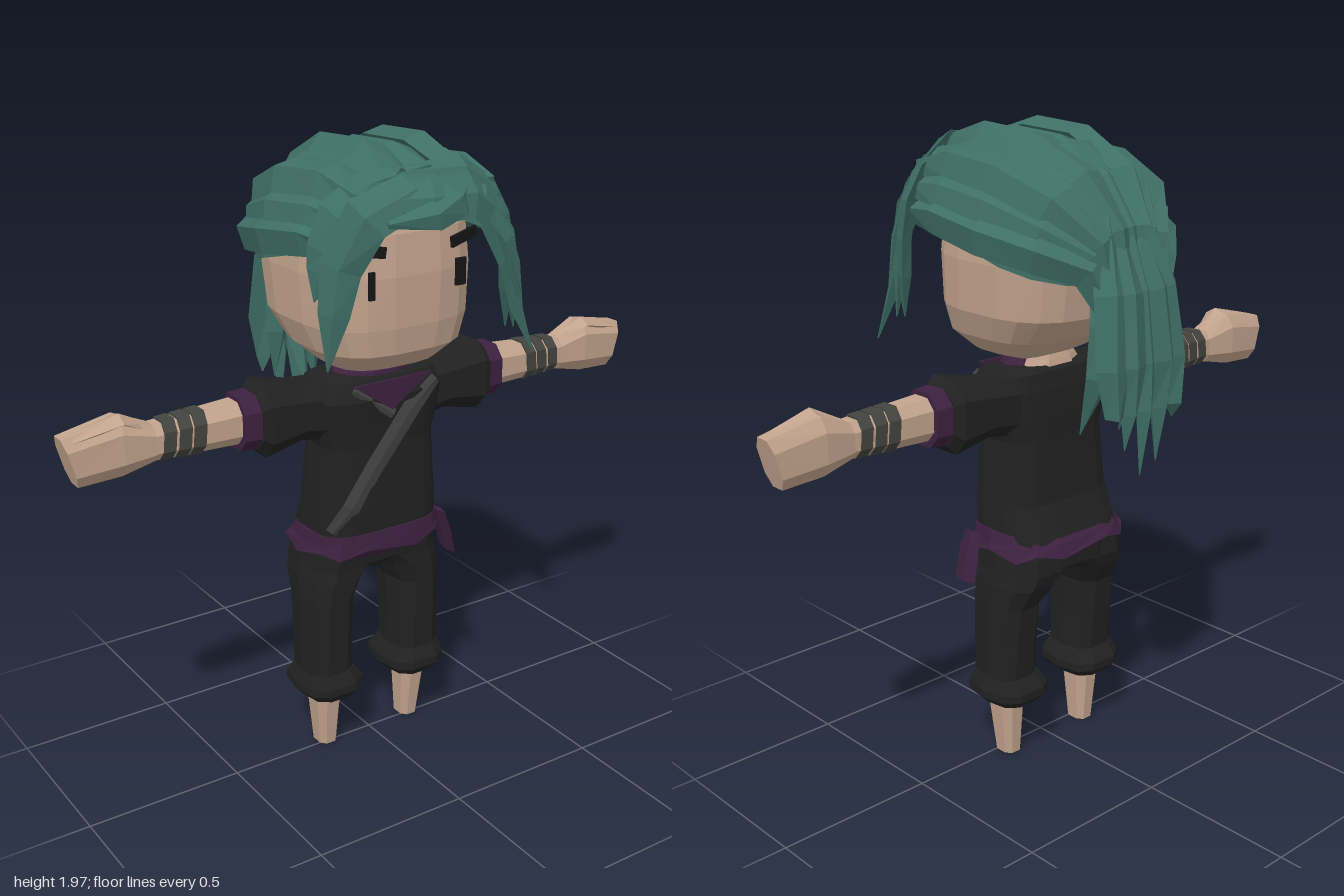
import * as THREE from 'three';

const mat = (name, color) => {
  const m = new THREE.MeshStandardMaterial({ color });
  m.name = name;
  return m;
};
const V = (p) => new THREE.Vector3(...p);

// Superellipse exponent helper
const sp = (v, e) => Math.sign(v) * Math.pow(Math.abs(v), e);

// Horizontal ring, front at zf and back at zb; tilt lifts it toward the front
function ringY([y, cx, rx, zf, zb, tilt = 0], n, e) {
  const cz = (zf + zb) / 2, rz = (zf - zb) / 2;
  return Array.from({ length: n }, (_, i) => {
    const a = ((i + 0.5) / n) * Math.PI * 2;
    const z = cz + rz * sp(Math.cos(a), e);
    return V([cx + rx * sp(Math.sin(a), e), y + tilt * z, z]);
  });
}

// Upright ring around the x axis, used for arms
function ringX([x, cy, ry, zf, zb, tilt = 0], n, e) {
  const cz = (zf + zb) / 2, rz = (zf - zb) / 2;
  return Array.from({ length: n }, (_, i) => {
    const a = ((i + 0.5) / n) * Math.PI * 2;
    const dy = ry * sp(Math.cos(a), e);
    return V([x + tilt * dy, cy + dy, cz + rz * sp(Math.sin(a), e)]);
  });
}

// Faceted skin over a list of rings, closed at both ends
function loft(rings) {
  const pos = [], n = rings[0].length;
  const tri = (...vs) => vs.forEach((v) => pos.push(v.x, v.y, v.z));
  for (let i = 0; i + 1 < rings.length; i++) {
    for (let j = 0; j < n; j++) {
      const k = (j + 1) % n, r = rings[i], s = rings[i + 1];
      tri(r[j], r[k], s[k]);
      tri(r[j], s[k], s[j]);
    }
  }
  const first = rings[0], last = rings[rings.length - 1];
  for (let j = 1; j + 1 < n; j++) {
    tri(first[0], first[j + 1], first[j]);
    tri(last[0], last[j], last[j + 1]);
  }
  const g = new THREE.BufferGeometry();
  g.setAttribute('position', new THREE.Float32BufferAttribute(pos, 3));
  g.computeVertexNormals();
  return g;
}
const loftY = (rows, n = 12, e = 0.7) => loft(rows.map((r) => ringY(r, n, e)));
const loftX = (rows, n = 8, e = 0.8) => loft(rows.map((r) => ringX(r, n, e)));

// Flat diamond-section strand along points, facing away from a centre
function strand(points, widths, thick, centre = [0, 1.6, -0.03]) {
  const p = points.map(V), c = V(centre);
  return loft(p.map((q, i) => {
    const t = p[Math.min(i + 1, p.length - 1)].clone().sub(p[Math.max(i - 1, 0)]).normalize();
    const n = q.clone().sub(c);
    n.addScaledVector(t, -n.dot(t)).normalize();
    const s = t.clone().cross(n), w = widths[i], h = Math.min(thick, w);
    return [[n, h], [s, w], [n, -h], [s, -w]].map(([d, l]) => q.clone().addScaledVector(d, l));
  }));
}

// Reflection across x = 0 with the face order restored
function mirrorX(geo) {
  const g = geo.clone(), a = g.attributes.position;
  for (let i = 0; i < a.count; i += 3) {
    const [p, q, r] = [0, 1, 2].map((k) => new THREE.Vector3().fromBufferAttribute(a, i + k));
    [p, r, q].forEach((v, k) => a.setXYZ(i + k, -v.x, v.y, v.z));
  }
  g.computeVertexNormals();
  return g;
}

export function createModel() {
  const skin = mat('skin', 0xc2a38d), hair = mat('teal hair', 0x3f6f66);
  const cloth = mat('black cloth', 0x212121), purple = mat('purple cloth', 0x3d213f);
  const strapGrey = mat('grey strap', 0x444444), wrapGrey = mat('grey wrap', 0x43443f);
  const ink = mat('eye black', 0x151515);
  const model = new THREE.Group();
  const add = (name, geo, m) => {
    const mesh = new THREE.Mesh(geo, m);
    mesh.name = name;
    model.add(mesh);
    return mesh;
  };
  const pair = (name, geo, m) => {
    add(name + 'Left', geo, m);
    add(name + 'Right', mirrorX(geo), m);
  };

  // Head and neck
  add('head', loftY([[1.29, 0, 0.11, 0.09, -0.06], [1.31, 0, 0.17, 0.175, -0.1], [1.37, 0, 0.238, 0.238, -0.2],
    [1.45, 0, 0.268, 0.25, -0.28], [1.6, 0, 0.275, 0.255, -0.31], [1.72, 0, 0.265, 0.245, -0.31],
    [1.83, 0, 0.21, 0.2, -0.26], [1.9, 0, 0.08, 0.08, -0.15]], 20, 0.68), skin);
  add('neck', loftY([[1.24, 0, 0.13, 0.03, -0.1], [1.285, 0, 0.1, 0.03, -0.088], [1.34, 0, 0.07, 0.05, -0.07]], 8, 0.9), skin);

  // Eyes and eyebrows
  for (const [s, w] of [[1, 0.034], [-1, 0.018]]) {
    add('eye', new THREE.BoxGeometry(w, 0.08, 0.008), ink).position.set(0.153 * s, 1.585, 0.243);
    const brow = add('eyebrow', new THREE.BoxGeometry(0.11, 0.032, 0.009), ink);
    brow.position.set(0.165 * s, 1.684, 0.238);
    brow.rotation.set(0, 0.25 * s, 0.15 * s);
  }

  // Tunic, sleeves and collar
  add('tunic', loftY([[0.74, 0, 0.215, 0.12, -0.175], [0.85, 0, 0.207, 0.12, -0.13], [1.05, 0, 0.193, 0.115, -0.115],
    [1.12, 0, 0.21, 0.12, -0.115], [1.2, 0, 0.22, 0.128, -0.11], [1.255, 0, 0.2, 0.1, -0.1],
    [1.27, 0, 0.13, 0.05, -0.085]], 20, 0.55), cloth);
  pair('sleeve', loftX([[0.12, 1.155, 0.1, 0.08, -0.1], [0.26, 1.172, 0.09, 0.08, -0.105],
    [0.385, 1.172, 0.118, 0.09, -0.11], [0.41, 1.175, 0.09, 0.08, -0.09]], 8, 0.75), cloth);
  add('scarf', loftY([[1.2, 0, 0.15, 0.1, -0.06], [1.27, 0, 0.135, 0.085, -0.065], [1.3, 0, 0.1, 0.06, -0.06]], 10, 0.9), purple);
  const flap = new THREE.Shape([[-0.14, 1.255], [0, 1.16], [0.14, 1.255]].map((p) => new THREE.Vector2(...p)));
  add('collarFlap', new THREE.ExtrudeGeometry(flap, { depth: 0.008, bevelEnabled: false }), purple).position.z = 0.122;

  // Crossed lapel running into the chest strap
  const behind = [0, 1, -100];
  add('chestStrap', strand([[0.165, 1.225, 0.115], [0.07, 1.15, 0.125], [-0.06, 0.98, 0.118], [-0.14, 0.865, 0.115],
    [-0.195, 0.79, 0.09]], [0.02, 0.035, 0.034, 0.034, 0.026], 0.006, behind), strapGrey);
  add('lapel', strand([[-0.13, 1.24, 0.118], [0.005, 1.145, 0.126]], [0.012, 0.016], 0.006, behind), strapGrey);

  // Sash with an uneven hem and a hanging tail
  const sash = [[0.71, 0, 0.243, 0.135, -0.205], [0.735, 0, 0.23, 0.132, -0.185], [0.77, 0, 0.222, 0.128, -0.155]]
    .map((r) => ringY(r, 14, 0.65));
  sash[0].forEach((v, i) => { v.y += i % 2 ? 0.008 : -0.016; });
  add('sash', loft(sash), purple);
  add('sashTail', strand([[0.235, 0.75, 0.05], [0.255, 0.68, 0.05], [0.275, 0.6, 0.045]], [0.035, 0.045, 0.045], 0.008, [-100, 0.7, 0]), purple);

  // Trousers, cuffs and feet
  add('hips', loftY([[0.615, 0, 0.05, 0.05, -0.13], [0.65, 0, 0.18, 0.09, -0.18], [0.73, 0, 0.215, 0.1, -0.18]], 12, 0.65), cloth);
  pair('trouserLeg', loftY([[0.25, 0.165, 0.083, 0.075, -0.105], [0.4, 0.165, 0.08, 0.08, -0.115],
    [0.53, 0.162, 0.08, 0.085, -0.13], [0.6, 0.143, 0.096, 0.09, -0.168], [0.64, 0.12, 0.112, 0.09, -0.178],
    [0.7, 0.115, 0.11, 0.095, -0.175]], 10), cloth);
  pair('trouserCuff', loftY([[0.195, 0.158, 0.085, 0.085, -0.12], [0.22, 0.158, 0.107, 0.1, -0.14],
    [0.245, 0.158, 0.107, 0.1, -0.14], [0.285, 0.163, 0.085, 0.08, -0.11]], 10), cloth);
  pair('foot', loftY([[0, 0.16, 0.033, 0.02, -0.06], [0.22, 0.165, 0.05, 0.05, -0.078]], 8, 0.75), skin);

  // Arms, hands, sleeve bands and wrist wraps
  const armR = (x) => 0.07 - 0.054 * (x - 0.46);
  pair('sleeveBand', loftX([[0.39, 1.175, 0.09, 0.075, -0.085], [0.465, 1.175, 0.086, 0.07, -0.08]]), purple);
  pair('forearm', loftX([[0.42, 1.18, 0.07, 0.055, -0.065], [0.75, 1.175, 0.055, 0.045, -0.05]]), skin);
  pair('hand', loftX([[0.73, 1.175, 0.056, 0.046, -0.052], [0.83, 1.185, 0.09, 0.052, -0.068],
    [0.978, 1.165, 0.078, 0.035, -0.055, 0.27]], 8, 0.75), skin);
  pair('thumb', strand([[0.74, 1.215, 0.0], [0.83, 1.265, 0.015], [0.97, 1.228, 0.005]], [0.02, 0.04, 0.02], 0.018, [0.85, 1.1, 0]), skin);
  for (const x of [0.58, 0.625, 0.672]) {
    const row = (q) => [q, 1.178, armR(q) + 0.005, armR(q) - 0.009, -armR(q) + 0.003, -0.1];
    pair('wristWrap', loftX([row(x), row(x + 0.038)]), wrapGrey);
  }

  // Hair base under the strands
  add('hairBase', loftY([[1.64, 0, 0.288, 0.215, -0.33, 0.26], [1.75, 0, 0.285, 0.2, -0.34, 0.2],
    [1.86, 0, 0.215, 0.235, -0.28, 0.06], [1.925, 0, 0.1, 0.14, -0.16]], 16, 0.8), hair);

  // Combed-back strands from hairline to tie
  for (let k = -5; k <= 5; k++) {
    const a = (k / 5) * 1.45, s = sp(Math.sin(a), 0.9), c = Math.pow(Math.cos(a), 0.7);
    const d = k % 2 ? 0.008 : -0.006;
    add('combedStrand', strand([[0.27 * s, 1.66 + 0.23 * c, 0.23 + 0.06 * c], [0.29 * s, 1.65 + 0.285 * c + d, 0.12],
      [0.3 * s, 1.62 + 0.305 * c + d, -0.08], [0.255 * s, 1.6 + 0.24 * c + d, -0.26],
      [0.15 * s, 1.58 + 0.13 * c, -0.355], [0.1 * s, 1.48, -0.385]],
    [0.035, 0.06, 0.066, 0.062, 0.055, 0.03], 0.03 + d), hair);
  }

  // Ponytail: broad outer layer, then an inner layer filling toward the neck
  [1.15, 1.03, 1.0, 1.09, 1.2].forEach((y, i) => {
    const u = (i - 2) / 2, b = i % 2 ? 0.012 : 0;
    add('ponytailStrand', strand([[0.07 * u, 1.74, -0.33], [0.11 * u, 1.54, -0.405 - b], [0.13 * u, 1.34, -0.43 - b],
      [0.12 * u, 1.2, -0.43], [0.13 * u, y, -0.42]], [0.04, 0.058, 0.052, 0.03, 0.002], 0.03), hair);
  });
  [1.15, 1.1, 1.18, 1.12].forEach((y, i) => {
    const u = (i - 1.5) / 1.5;
    add('ponytailUnderstrand', strand([[0.08 * u, 1.6, -0.33], [0.1 * u, 1.45, -0.37], [0.11 * u, 1.3, -0.36],
      [0.12 * u, y, i % 2 ? -0.295 : -0.36]], [0.03, 0.05, 0.045, 0.002], 0.03), hair);
  });

  // Fringe and side locks: path points, then half-widths
  const w = [0.02, 0.06, 0.07, 0.06, 0.045, 0.002];
  const locks = [
    [[-0.15, 1.84, 0.29], [0, 1.85, 0.34], [0.15, 1.79, 0.345], [0.24, 1.64, 0.335], [0.285, 1.5, 0.325], [0.36, 1.33, 0.33]],
    [[-0.1, 1.89, 0.28], [0.1, 1.89, 0.31], [0.22, 1.81, 0.29], [0.28, 1.67, 0.285], [0.3, 1.53, 0.285], [0.325, 1.4, 0.28]],
    [[0.04, 1.87, 0.31], [-0.1, 1.86, 0.36], [-0.23, 1.8, 0.33], [-0.28, 1.66, 0.28], [-0.295, 1.53, 0.27], [-0.31, 1.37, 0.26]],
    [[0, 1.9, 0.28], [-0.18, 1.87, 0.28], [-0.26, 1.79, 0.25], [-0.29, 1.7, 0.23], [-0.3, 1.64, 0.22], [-0.32, 1.56, 0.21]],
    [[0.15, 1.88, 0.24], [0.23, 1.83, 0.26], [0.28, 1.74, 0.265], [0.3, 1.63, 0.265], [0.305, 1.52, 0.265], [0.31, 1.4, 0.26]],
    [[-0.2, 1.83, 0.3], [-0.07, 1.845, 0.41], [0.07, 1.84, 0.395], [0.19, 1.76, 0.365], [0.26, 1.62, 0.345], [0.31, 1.47, 0.335]],
  ];
  locks.forEach((p) => add('fringeLock', strand(p, w, 0.022), hair));
  add('fringeTip', strand([[0.0, 1.88, 0.33], [0.12, 1.83, 0.38], [0.21, 1.71, 0.39], [0.26, 1.55, 0.385]], [0.02, 0.04, 0.035, 0.002], 0.015), hair);
  add('frontTuft', strand([[0.1, 1.86, 0.33], [0, 1.84, 0.42], [-0.08, 1.81, 0.44], [-0.2, 1.79, 0.39]], [0.03, 0.05, 0.04, 0.01], 0.025), hair);
  return model;
}
